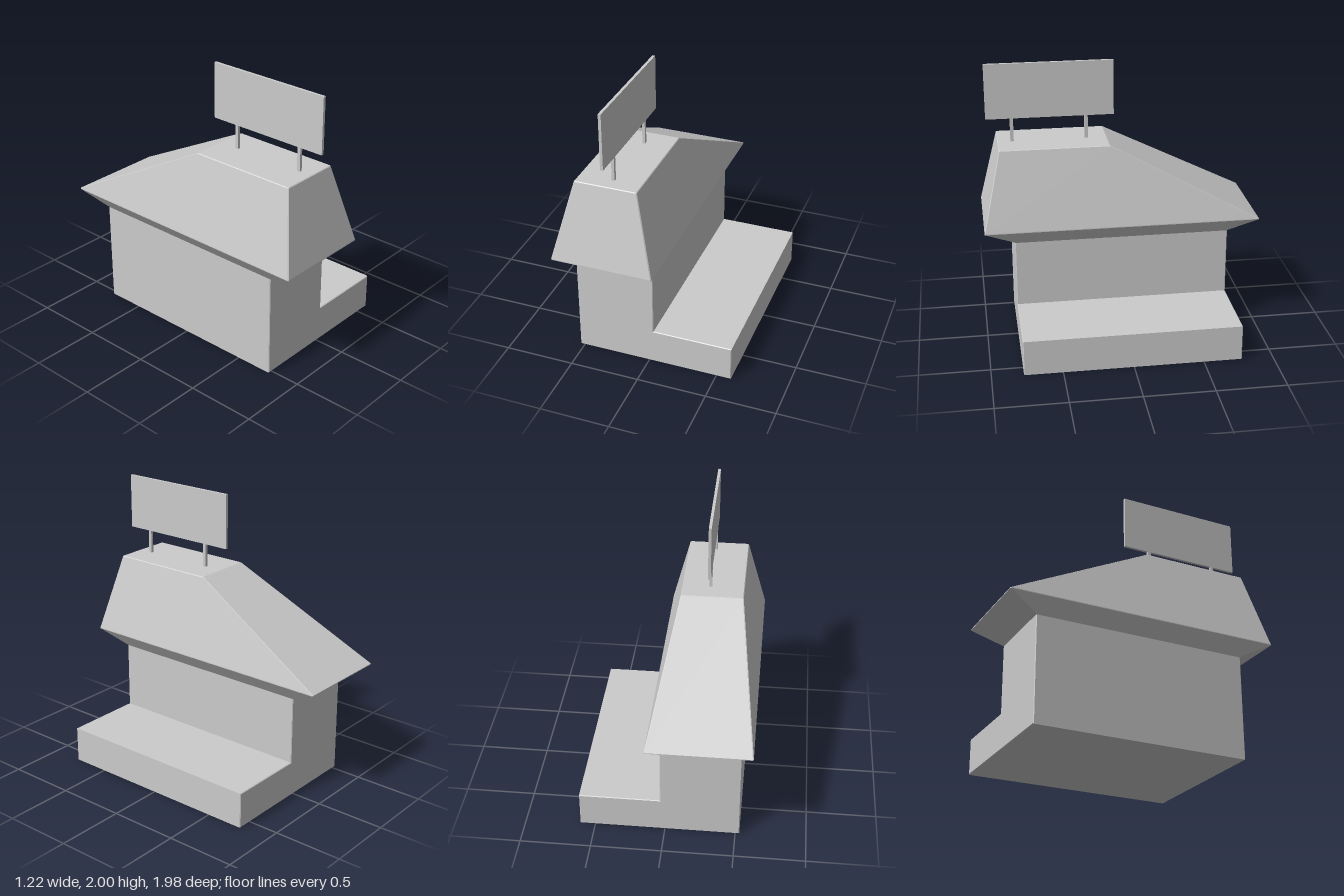
import * as THREE from 'three';

const grey = new THREE.MeshStandardMaterial({ color: 0xcccccc, flatShading: true });

function addMesh(parent, name, geometry, x = 0, y = 0, z = 0) {
  const mesh = new THREE.Mesh(geometry, grey);
  mesh.name = name;
  mesh.position.set(x, y, z);
  parent.add(mesh);
  return mesh;
}

// Rectangle at height y with slightly cut corners, counter-clockwise from above
function ring(y, x0, x1, z0, z1, c = 0.006) {
  return [
    [x0 + c, y, z1], [x1 - c, y, z1], [x1, y, z1 - c], [x1, y, z0 + c],
    [x1 - c, y, z0], [x0 + c, y, z0], [x0, y, z0 + c], [x0, y, z1 - c],
  ];
}

// Closed solid skinned through a stack of rings
function loft(rings) {
  const n = rings[0].length, index = [];
  for (let r = 0; r < rings.length - 1; r++) {
    for (let i = 0; i < n; i++) {
      const a = r * n + i, b = r * n + (i + 1) % n;
      index.push(a, b, b + n, a, b + n, a + n);
    }
  }
  const top = (rings.length - 1) * n;
  for (let i = 1; i < n - 1; i++) {
    index.push(0, i + 1, i, top, top + i, top + i + 1);
  }
  const g = new THREE.BufferGeometry();
  g.setAttribute('position', new THREE.Float32BufferAttribute(rings.flat(2), 3));
  g.setIndex(index);
  const flat = g.toNonIndexed();
  flat.computeVertexNormals();
  return flat;
}

export function createModel() {
  const model = new THREE.Group();
  model.name = 'building';

  // L-shaped body: tall block with a low side wing
  const outline = new THREE.Shape([
    [-0.53, 0], [0.607, 0], [0.607, 0.26], [0.035, 0.26], [0.035, 0.755], [-0.53, 0.755],
  ].map(([x, y]) => new THREE.Vector2(x, y)));
  const bevel = 0.005, depth = 1.55;
  const body = new THREE.ExtrudeGeometry(outline, {
    depth: depth - 2 * bevel, bevelSize: bevel, bevelThickness: bevel,
    bevelOffset: -bevel, bevelSegments: 1,
  });
  body.translate(0, 0, bevel - depth / 2);
  addMesh(model, 'body', body);

  // Overhanging roof: flared eaves, steep front and sides, long rear slope
  addMesh(model, 'roof', loft([
    ring(0.75, -0.53, 0.035, -0.775, 0.775),
    ring(0.857, -0.61, 0.113, -0.99, 0.99),
    ring(0.863, -0.61, 0.113, -0.99, 0.99),
    ring(1.425, -0.471, -0.027, 0.07, 0.863),
    ring(1.43, -0.466, -0.032, 0.08, 0.858),
  ]));

  // Roof sign on two posts
  const sign = new THREE.Group();
  sign.name = 'roofSign';
  sign.position.x = -0.23;
  model.add(sign);
  addMesh(sign, 'signBoard', new THREE.BoxGeometry(0.02, 0.4, 0.915), 0, 1.8, 0.483);
  for (const z of [0.225, 0.757]) {
    addMesh(sign, 'signPost', new THREE.BoxGeometry(0.02, 0.19, 0.024), 0, 1.51, z);
  }

  return model;
}
